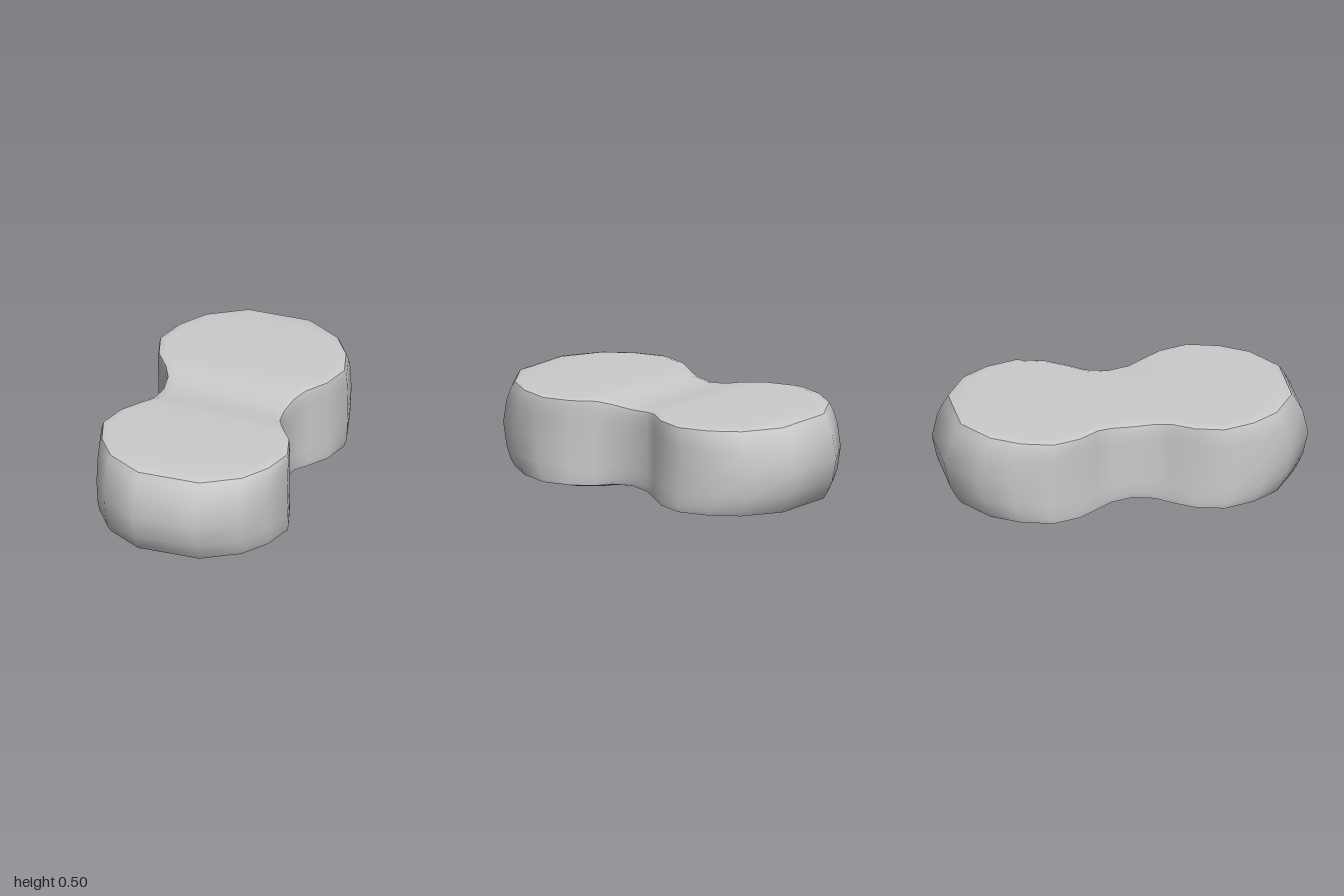
import * as THREE from 'three';

// One quarter of the plan outline, front end to waist: widest girdle and cap rim
const GIRDLE = [[0.175, 1], [0.385, 0.86], [0.487, 0.695], [0.535, 0.5], [0.487, 0.325], [0.41, 0.21], [0.37, 0.13], [0.355, 0]];
const RIM = [[0.175, 0.91], [0.375, 0.787], [0.475, 0.64], [0.525, 0.47], [0.48, 0.315], [0.4, 0.2], [0.36, 0.12], [0.345, 0]];
const DIP = [0, 0, 0, 0, 0, 0.001, 0.014, 0.024]; // how far the faces sink at the waist
const RIM_Y = 0.237;
const N = 30;

// Mirrors a quarter [x, y, z] list into a closed loop, anticlockwise from above
function fullLoop(quarter) {
  const right = [...quarter, ...quarter.slice(0, -1).reverse().map(([x, y, z]) => [x, y, -z])];
  return [...right, ...right.slice().reverse().map(([x, y, z]) => [-x, y, z])];
}

// Joins stacked loops with quads; optionally closes the last loop with strips
function loft(loops, closeTop) {
  const index = [];
  const quad = (a, b, c, d) => index.push(a, b, c, a, c, d);
  for (let k = 0; k < loops.length - 1; k++) {
    for (let j = 0; j < N; j++) {
      const a = k * N + j, b = k * N + (j + 1) % N;
      quad(a, b, b + N, a + N);
    }
  }
  if (closeTop) {
    const s = (loops.length - 1) * N;
    for (let i = 0; i < N / 2 - 1; i++) quad(s + i, s + i + 1, s + N - 2 - i, s + N - 1 - i);
  }
  const g = new THREE.BufferGeometry();
  g.setAttribute('position', new THREE.Float32BufferAttribute(loops.flat(2), 3));
  g.setIndex(index);
  g.computeVertexNormals();
  return g;
}

// Wall loop at height y: ends bulge along z, sides stay nearly upright
function wallLoop(y, bulgeX, bulgeZ) {
  const t = y / RIM_Y;
  return fullLoop(GIRDLE.map(([x, z], i) => [
    x + (RIM[i][0] - x) * bulgeX, y - DIP[i] * t, z + (RIM[i][1] - z) * bulgeZ,
  ]));
}

export function createModel() {
  const group = new THREE.Group();
  group.name = 'doubleLobedBlock';
  const body = new THREE.Group();
  body.name = 'body';
  body.position.y = 0.25;
  group.add(body);
  const material = new THREE.MeshStandardMaterial({ color: 0xcccccc });

  // Rounded side wall
  const upper = [[0.13, 0, 0.32], [0.2, 0.1, 0.72], [RIM_Y, 1, 1]];
  const levels = [...upper.slice().reverse().map(([y, a, b]) => [-y, a, b]), [0, 0, 0], ...upper];
  const wall = new THREE.Mesh(loft(levels.map((l) => wallLoop(...l)), false), material);
  wall.name = 'sideWall';
  body.add(wall);

  // Matching faces with a shallow bevel and a sunken waist
  const inner = fullLoop(RIM.map(([x, z], i) => [x - 0.045, 0.25 - DIP[i], z - 0.045 * z * z]));
  const capGeometry = loft([wallLoop(RIM_Y, 1, 1), inner], true);
  for (const [name, turn] of [['topFace', 0], ['bottomFace', Math.PI]]) {
    const cap = new THREE.Mesh(capGeometry, material);
    cap.name = name;
    cap.rotation.z = turn;
    body.add(cap);
  }
  return group;
}
